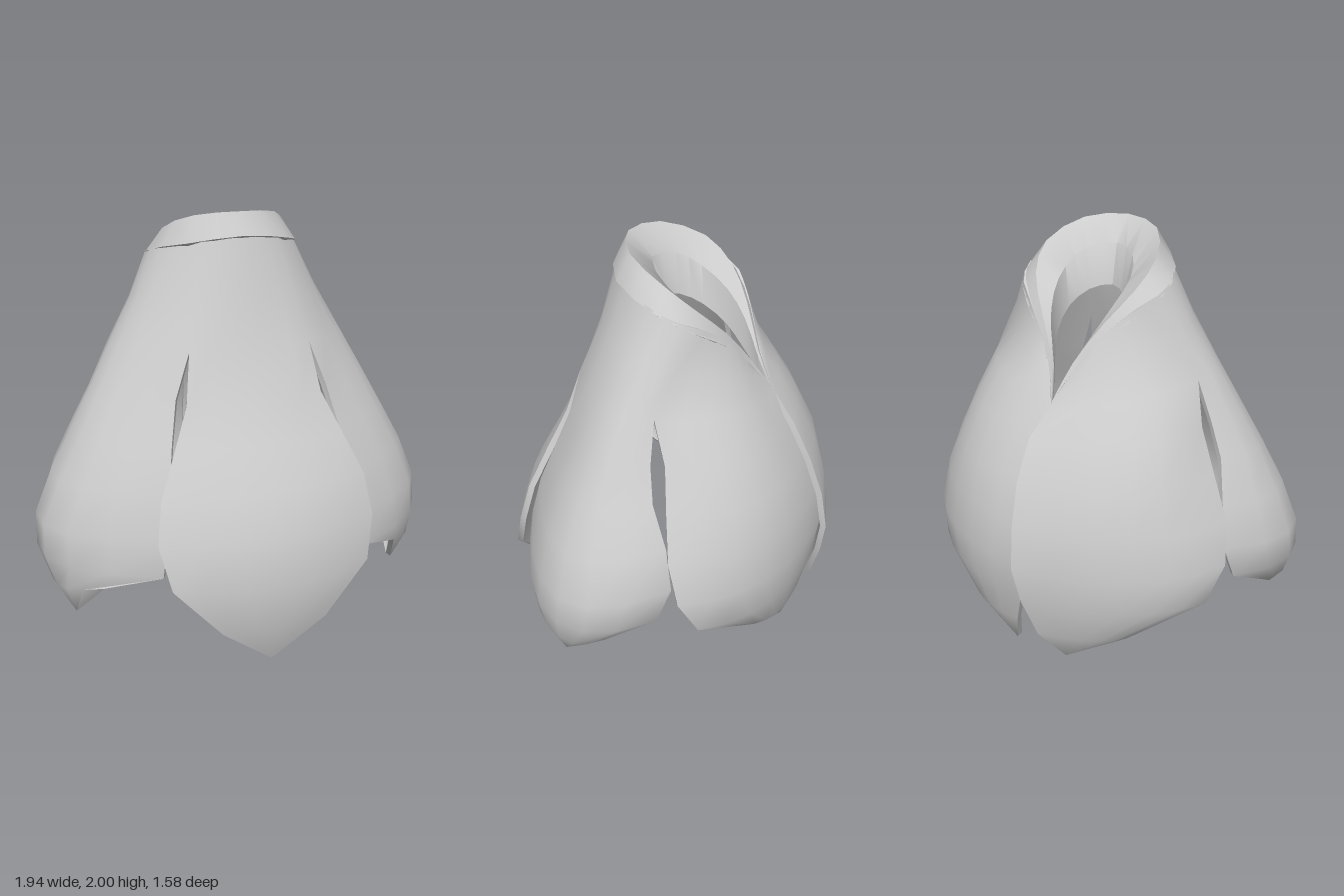
import * as THREE from 'three';
import { mergeVertices, toCreasedNormals } from 'three/addons/utils/BufferGeometryUtils.js';

const COLS = 6, THICKNESS = 0.028;

// Edge and centre lines, from the neck (first three rows are joined) to the tip
const frontSideSeam = [[0.175, 1.88, 0.225], [0.235, 1.65, 0.28], [0.285, 1.42, 0.37]];
const sideBackSeam = [[0.31, 1.74, -0.20], [0.41, 1.57, -0.14], [0.53, 1.39, -0.08]];
const frontTip = [0, 0, 0.70], sideTip = [0.83, 0.17, 0.28], backTip = [0.14, 0.05, -0.62];

const frontCentre = [[0, 1.9, 0.268], [0, 1.65, 0.33], [0, 1.41, 0.405], [0, 1.2, 0.49], [0, 1.02, 0.58],
  [0, 0.84, 0.68], [0, 0.64, 0.755], [0, 0.42, 0.79], [0, 0.2, 0.765], frontTip];
const frontEdge = [...frontSideSeam, [0.32, 1.2, 0.44], [0.40, 1.02, 0.515],
  [0.485, 0.83, 0.59], [0.515, 0.64, 0.64], [0.47, 0.44, 0.70], [0.25, 0.2, 0.735], frontTip];

const sideFront = [...frontSideSeam, [0.36, 1.22, 0.405], [0.40, 1.04, 0.475],
  [0.435, 0.85, 0.55], [0.46, 0.65, 0.60], [0.49, 0.47, 0.62], [0.73, 0.385, 0.48], sideTip];
const sideCentre = [[0.35, 1.82, 0], [0.435, 1.62, 0.06], [0.55, 1.4, 0.12], [0.66, 1.2, 0.16], [0.755, 1.02, 0.2],
  [0.865, 0.82, 0.22], [0.95, 0.62, 0.23], [0.955, 0.47, 0.25], [0.91, 0.32, 0.27], sideTip];
const sideBack = [...sideBackSeam, [0.61, 1.2, -0.09], [0.68, 1.05, -0.125],
  [0.735, 0.86, -0.205], [0.77, 0.66, -0.24], [0.80, 0.48, -0.18], [0.86, 0.33, 0.06], sideTip];

const backFront = [...sideBackSeam, [0.59, 1.2, -0.15], [0.675, 1.0, -0.185],
  [0.765, 0.8, -0.225], [0.795, 0.6, -0.28], [0.74, 0.42, -0.36], [0.45, 0.22, -0.51], backTip];
const backCentre = [[0.19, 1.63, -0.295], [0.24, 1.5, -0.325], [0.34, 1.36, -0.37], [0.40, 1.2, -0.45], [0.44, 1.0, -0.54],
  [0.47, 0.8, -0.59], [0.49, 0.6, -0.615], [0.45, 0.42, -0.63], [0.33, 0.22, -0.63], backTip];
const backInner = [[0.07, 1.47, -0.37], [0.04, 1.4, -0.415], [0, 1.31, -0.475], [-0.01, 1.18, -0.55], [-0.02, 1.0, -0.645],
  [-0.01, 0.8, -0.715], [0, 0.6, -0.75], [0.03, 0.42, -0.73], [0.09, 0.22, -0.685], backTip];
// The right back petal laps over the left one
const backLap = backInner.map(([x, y, z], i) => (i > 2 && i < 9 ? [x - 0.035, y, z - 0.04] : [x, y, z]));

const mirror = (line) => line.map(([x, y, z]) => [-x, y, z]);

// Each row is a parabola through one edge, the centre line and the other edge
function addPetal(out, a, m, b) {
  const at = (row, col) => {
    const u = col / COLS;
    const wa = (1 - u) * (1 - 2 * u), wm = 4 * u * (1 - u), wb = u * (2 * u - 1);
    return [0, 1, 2].map((k) => a[row][k] * wa + m[row][k] * wm + b[row][k] * wb);
  };
  for (let r = 0; r < a.length - 1; r++) {
    for (let c = 0; c < COLS; c++) {
      const p = at(r, c), q = at(r + 1, c), s = at(r, c + 1), t = at(r + 1, c + 1);
      out.push(...p, ...q, ...s);
      if (r < a.length - 2) out.push(...q, ...t, ...s);
    }
  }
}

function fromPositions(list) {
  const geo = new THREE.BufferGeometry();
  geo.setAttribute('position', new THREE.Float32BufferAttribute(list, 3));
  return geo;
}

// Gives a surface an inner side and a rim along every open edge
function thicken(list, thickness) {
  const geo = mergeVertices(fromPositions(list), 1e-4);
  geo.computeVertexNormals();
  const pos = geo.attributes.position, nor = geo.attributes.normal, index = geo.index.array;
  const outer = [], inner = [], edges = new Set(), result = [];
  for (let i = 0; i < pos.count; i++) {
    const p = new THREE.Vector3().fromBufferAttribute(pos, i);
    const n = new THREE.Vector3().fromBufferAttribute(nor, i);
    outer.push(p.toArray());
    inner.push(p.addScaledVector(n, -thickness).toArray());
  }
  const tri = (...corners) => corners.forEach((c) => result.push(...c));
  for (let i = 0; i < index.length; i += 3) {
    const [a, b, c] = [index[i], index[i + 1], index[i + 2]];
    tri(outer[a], outer[b], outer[c]);
    tri(inner[a], inner[c], inner[b]);
    [[a, b], [b, c], [c, a]].forEach(([s, e]) => edges.add(s + '_' + e));
  }
  for (const key of edges) {
    const [a, b] = key.split('_').map(Number);
    if (edges.has(b + '_' + a)) continue;
    tri(outer[b], outer[a], inner[a]);
    tri(outer[b], inner[a], inner[b]);
  }
  return toCreasedNormals(fromPositions(result), 0.95);
}

// Collar: four edge lines (outer bottom, outer top, inner top, inner bottom)
// run from the front round to the open back, the inside sloping down as a funnel
function collarGeometry() {
  const steps = 24;
  const tracks = [
    [[0, 1.90, 0.28], [0.24, 1.865, 0.195], [0.365, 1.80, -0.04], [0.325, 1.72, -0.19], [0.195, 1.61, -0.30], [0.07, 1.46, -0.38], [0, 1.31, -0.47]],
    [[0, 2.0, 0.23], [0.19, 1.98, 0.15], [0.285, 1.90, -0.04], [0.255, 1.79, -0.18], [0.16, 1.655, -0.285], [0.055, 1.48, -0.375], [0, 1.32, -0.465]],
    [[0, 1.89, 0.12], [0.12, 1.87, 0.05], [0.17, 1.80, -0.06], [0.155, 1.71, -0.19], [0.11, 1.60, -0.29], [0.04, 1.45, -0.38], [0, 1.31, -0.46]],
    [[0, 1.70, 0.08], [0.09, 1.68, 0.02], [0.14, 1.62, -0.08], [0.13, 1.54, -0.20], [0.09, 1.46, -0.29], [0.035, 1.37, -0.39], [0, 1.28, -0.46]],
  ].map((half) => {
    const points = [...mirror(half.slice(1)).reverse(), ...half].map((p) => new THREE.Vector3(...p));
    return new THREE.CatmullRomCurve3(points).getPoints(steps).map((v) => v.toArray());
  });
  const list = [];
  tracks.forEach((low, w) => {
    const high = tracks[(w + 1) % tracks.length];
    for (let i = 0; i < steps; i++) {
      list.push(...low[i], ...low[i + 1], ...high[i]);
      list.push(...low[i + 1], ...high[i + 1], ...high[i]);
    }
  });
  return toCreasedNormals(fromPositions(list), 0.7);
}

export function createModel() {
  const group = new THREE.Group();
  group.name = 'petalCape';
  const cloth = new THREE.MeshStandardMaterial({ color: 0xcccccc });
  cloth.name = 'light grey cloth';

  // Five petals joined above the slits
  const surface = [];
  addPetal(surface, mirror(frontEdge), frontCentre, frontEdge);
  addPetal(surface, sideFront, sideCentre, sideBack);
  addPetal(surface, mirror(sideBack), mirror(sideCentre), mirror(sideFront));
  addPetal(surface, backFront, backCentre, backInner);
  addPetal(surface, mirror(backLap), mirror(backCentre), mirror(backFront));
  const petals = new THREE.Mesh(thicken(surface, THICKNESS), cloth);
  petals.name = 'petals';

  const collar = new THREE.Mesh(collarGeometry(), cloth);
  collar.name = 'collar';

  // The garment hangs slightly towards its right
  for (const part of [petals, collar]) {
    part.position.x = -0.013;
    group.add(part);
  }
  return group;
}
